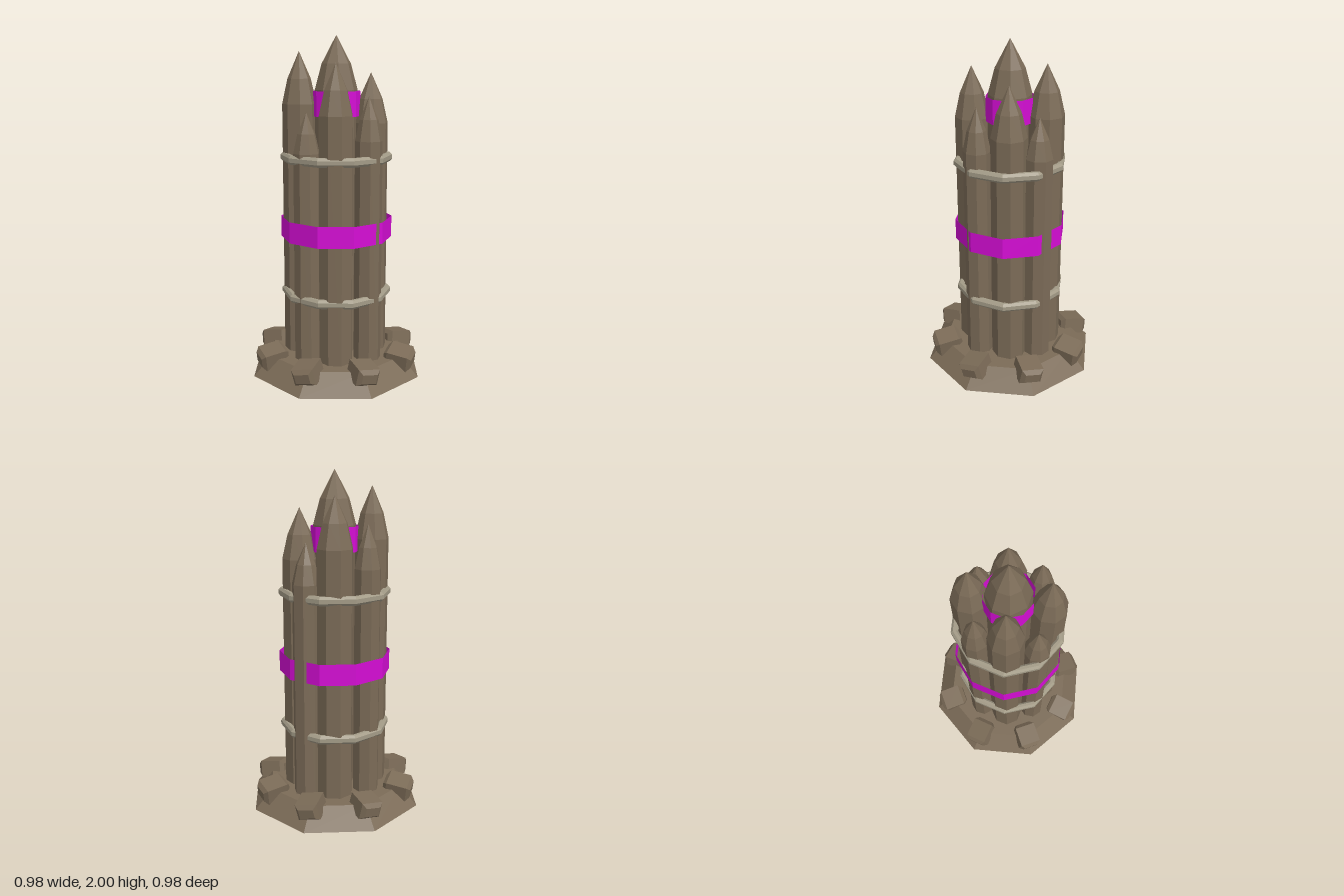
import * as THREE from 'three';

const mat = (name, color, side = THREE.FrontSide) => {
  const m = new THREE.MeshStandardMaterial({ color, side, flatShading: true });
  m.name = name;
  return m;
};

export function createModel() {
  const wood = mat('brown wood and earth', 0x7b6b57);
  const rope = mat('pale rope', 0xa39b87);
  const paint = mat('magenta band', 0xd40dd4, THREE.DoubleSide);

  const model = new THREE.Group();
  model.name = 'palisadeTower';
  const add = (name, geometry, material, x = 0, y = 0, z = 0, parent = model) => {
    const mesh = new THREE.Mesh(geometry, material);
    mesh.name = name;
    mesh.position.set(x, y, z);
    parent.add(mesh);
    return mesh;
  };

  // Octagonal earth mound, flat sides facing the axes
  const k = 1 / Math.cos(Math.PI / 8);
  add('mound', new THREE.CylinderGeometry(0.39 * k, 0.49 * k, 0.115, 8, 1, false, Math.PI / 8), wood, 0, 0.0575, 0);

  // Sharpened logs: x, z, radius, tip height, point length, turn
  const logs = new THREE.Group();
  logs.name = 'logs';
  model.add(logs);
  [
    [0, 0, 0.126, 2.0, 0.31, 0.15],
    [-0.215, 0.005, 0.1, 1.91, 0.3, 0.1],
    [0.01, -0.208, 0.105, 1.87, 0.29, 0.25],
    [0.202, -0.02, 0.103, 1.79, 0.29, 0.2],
    [0, 0.218, 0.1, 1.845, 0.29, 0.35],
    [-0.178, -0.163, 0.077, 1.71, 0.25, 0.2],
    [0.17, -0.185, 0.081, 1.61, 0.23, 0.55],
    [-0.167, 0.172, 0.077, 1.57, 0.23, 0.3],
    [0.186, 0.162, 0.079, 1.66, 0.25, 0.1],
  ].forEach(([x, z, r, tip, point, turn], i) => {
    const profile = [
      [0, 0.02], [r * 1.02, 0.02], [r, tip - point],
      [r * 0.68, tip - point * 0.52], [0, tip],
    ].map(([a, b]) => new THREE.Vector2(a, b));
    const log = add(i ? 'outerLog' : 'centreLog', new THREE.LatheGeometry(profile, 8), wood, x, 0, z, logs);
    log.rotation.y = turn;
  });

  // Ten-sided ropes with bevelled section
  const section = [
    [0.288, -0.015], [0.3, -0.026], [0.317, -0.026], [0.33, -0.012],
    [0.33, 0.012], [0.317, 0.026], [0.3, 0.026], [0.288, 0.015], [0.288, -0.015],
  ].map(([a, b]) => new THREE.Vector2(a, b));
  for (const y of [0.485, 1.302]) {
    add('rope', new THREE.LatheGeometry(section, 10, Math.PI / 2), rope, 0, y, 0);
  }

  // Thin painted bands around the bundle and the centre log
  const band = (r, h) => new THREE.CylinderGeometry(r, r, h, 10, 1, true, Math.PI / 2);
  add('outerBand', band(0.331, 0.125), paint, 0, 0.882, 0);
  add('centreBand', band(0.14, 0.145), paint, 0, 1.612, 0);

  // Bevelled stones around the foot
  const bevel = 0.022;
  const w = 0.068 - bevel, h = 0.05 - bevel, depth = 0.17 - 2 * bevel;
  const outline = new THREE.Shape([[-w, -h], [w, -h], [w, h], [-w, h]].map(([a, b]) => new THREE.Vector2(a, b)));
  const stone = new THREE.ExtrudeGeometry(outline, {
    depth, bevelEnabled: true, bevelSize: bevel, bevelThickness: bevel, bevelSegments: 1,
  });
  stone.translate(0, 0, -depth / 2);
  for (let i = 0; i < 8; i++) {
    const a = (i + 0.5) * Math.PI / 4;
    const s = add('stone', stone, wood, 0.412 * Math.sin(a), 0.112, 0.412 * Math.cos(a));
    s.rotation.order = 'YXZ';
    s.rotation.set(0.14, a + 0.04, i % 2 ? 0.2 : -0.15);
  }

  return model;
}
